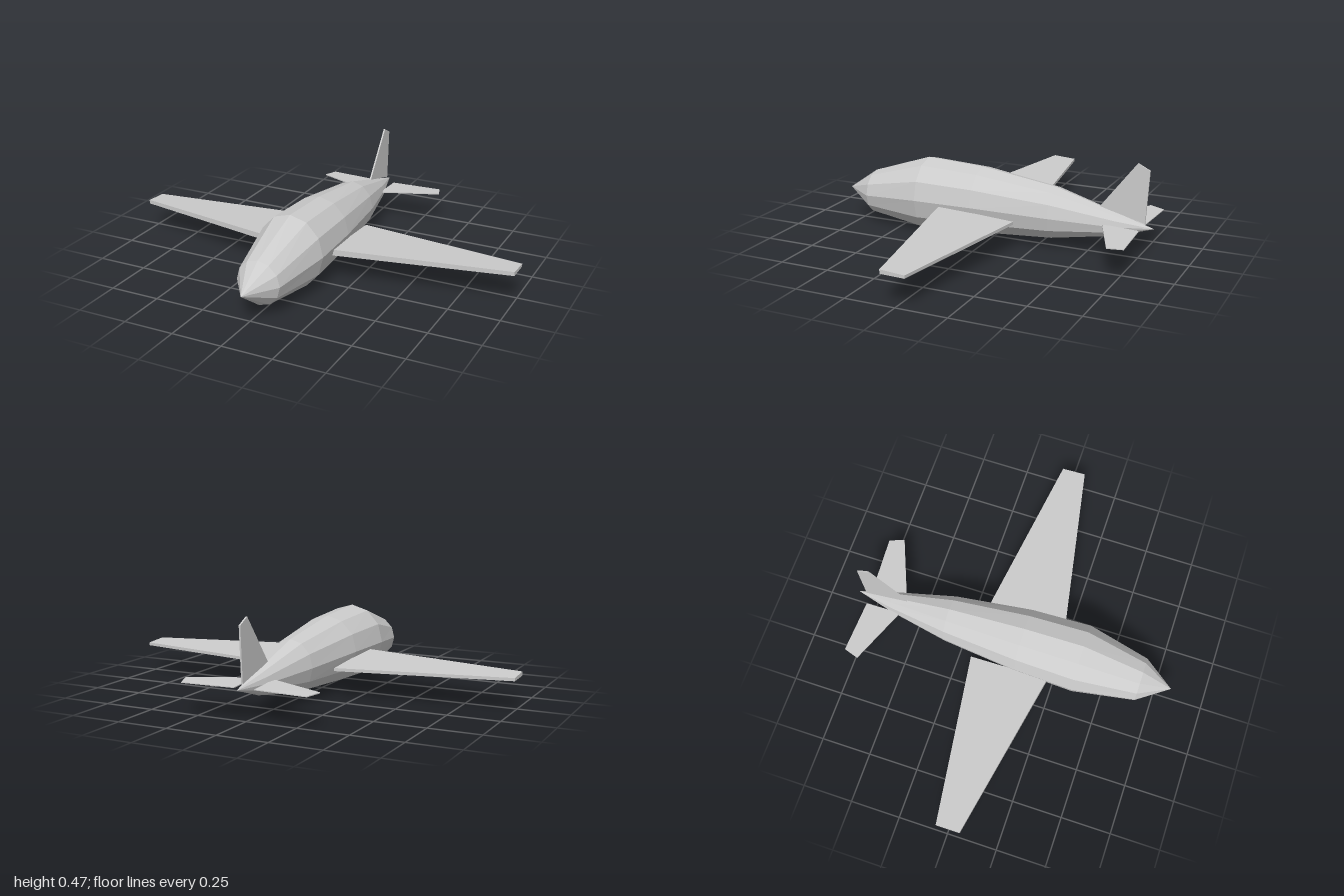
import * as THREE from 'three';
import { ConvexGeometry } from 'three/addons/geometries/ConvexGeometry.js';

const material = new THREE.MeshStandardMaterial({ color: 0xcccccc, flatShading: true });

function addMesh(parent, name, geometry) {
  const mesh = new THREE.Mesh(geometry, material);
  mesh.name = name;
  parent.add(mesh);
}

// Closed twelve-sided loft through rings of [z, centre y, half width, half height]
function loft(rings, sides = 12) {
  const positions = [];
  const indices = [];
  for (const [z, y, rx, ry] of rings) {
    for (let k = 0; k < sides; k++) {
      const a = (k / sides) * Math.PI * 2;
      positions.push(Math.sin(a) * rx, y + Math.cos(a) * ry, z);
    }
  }
  for (let i = 0; i < rings.length - 1; i++) {
    for (let k = 0; k < sides; k++) {
      const a = i * sides + k;
      const b = i * sides + ((k + 1) % sides);
      const c = a + sides;
      const d = b + sides;
      if (i > 0) indices.push(a, b, c);
      if (i < rings.length - 2 || i === 0) indices.push(b, d, c);
      else indices.push(a, b, c);
    }
  }
  // the first and last rings are points, so only one triangle per side is kept there
  const geometry = new THREE.BufferGeometry();
  geometry.setAttribute('position', new THREE.Float32BufferAttribute(positions, 3));
  geometry.setIndex(indices);
  const flat = geometry.toNonIndexed();
  flat.computeVertexNormals();
  return flat;
}

// Thin surface: each corner is [x, z, bottom y, top y]; side mirrors it in x
function panel(corners, side) {
  return new ConvexGeometry(corners.flatMap(([x, z, low, high]) => [
    new THREE.Vector3(side * x, low, z),
    new THREE.Vector3(side * x, high, z),
  ]));
}

export function createModel() {
  const plane = new THREE.Group();
  plane.name = 'airplane';

  // Faceted body, nose to tail
  addMesh(plane, 'fuselage', loft([
    [0.825, 0.16, 0, 0],
    [0.67, 0.16, 0.11, 0.11],
    [0.36, 0.19, 0.17, 0.185],
    [0.06, 0.19, 0.16, 0.17],
    [-0.33, 0.175, 0.115, 0.13],
    [-0.64, 0.158, 0.05, 0.058],
    [-0.825, 0.16, 0, 0],
  ]));

  for (const [label, side] of [['left', 1], ['right', -1]]) {
    // Tapered main wing, thicker at the leading edge
    addMesh(plane, label + 'Wing', panel([
      [0.15, 0.23, 0.145, 0.175],
      [0.15, -0.17, 0.135, 0.15],
      [1, 0.07, 0.148, 0.168],
      [1, -0.05, 0.145, 0.16],
    ], side));

    // Small swept tailplane
    addMesh(plane, label + 'Tailplane', panel([
      [0.05, -0.585, 0.161, 0.167],
      [0.05, -0.765, 0.154, 0.158],
      [0.34, -0.705, 0.158, 0.163],
      [0.315, -0.78, 0.154, 0.158],
    ], side));
  }

  // Upright tail fin
  const finOutline = [[-0.555, 0.238], [-0.78, 0.18], [-0.795, 0.44], [-0.735, 0.47]];
  addMesh(plane, 'tailFin', new ConvexGeometry(finOutline.flatMap(([z, y]) =>
    [-0.004, 0.004].map((x) => new THREE.Vector3(x, y, z)))));

  return plane;
}
